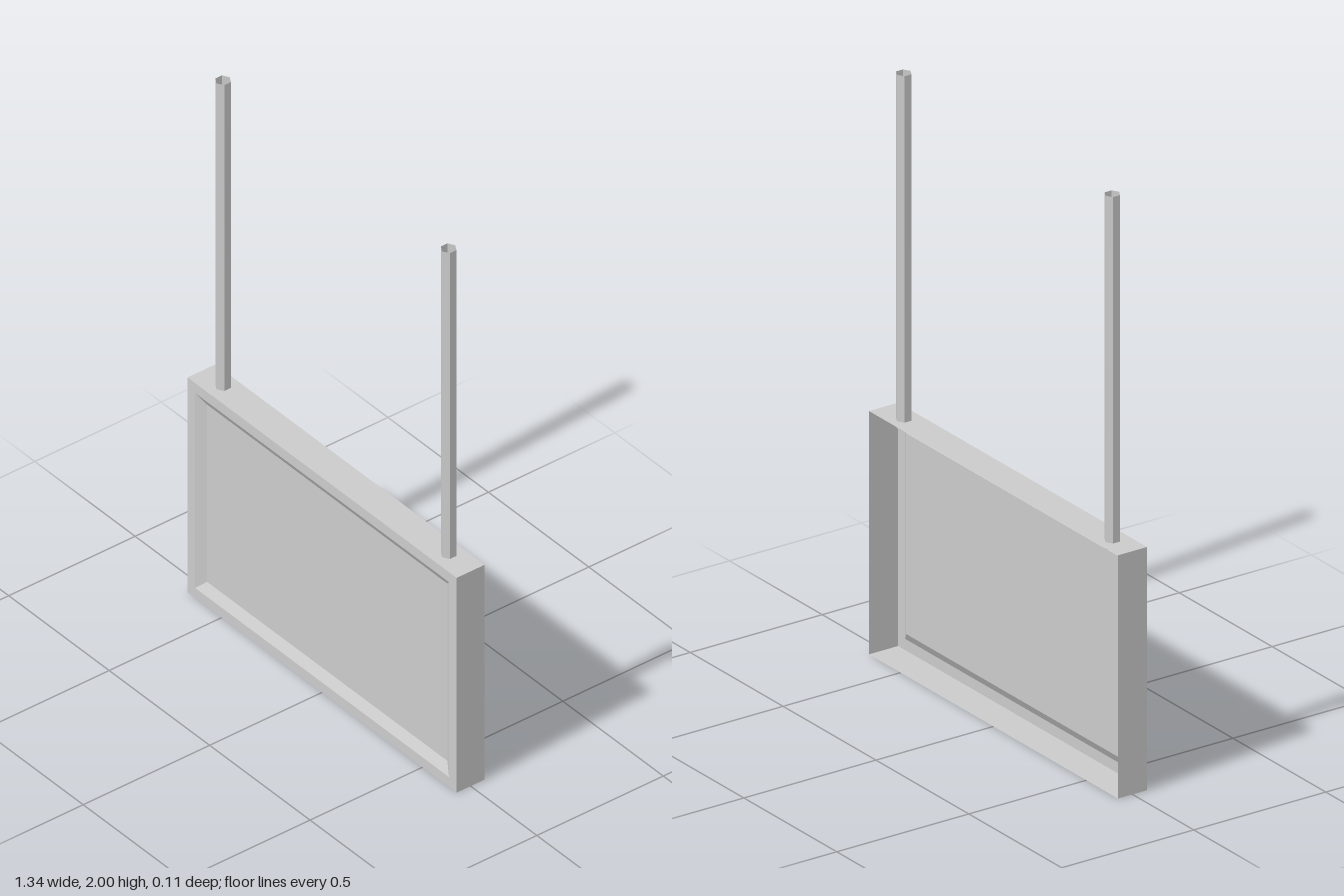
import * as THREE from 'three';

const W = 0.67, H = 0.825, D = 0.055; // half width, height, half depth
const material = new THREE.MeshStandardMaterial({
  color: 0xcccccc, flatShading: true, side: THREE.DoubleSide,
});

// Rectangle of four corners, inset from the outer edge, at depth z
const ring = (inset, z) => [
  [-W + inset, inset, z], [W - inset, inset, z],
  [W - inset, H - inset, z], [-W + inset, H - inset, z],
];

// Pressed tray: walls, front rim, bevel and recessed panel, open at the back
function trayGeometry() {
  const rings = [ring(0, -D), ring(0, D), ring(0.038, D), ring(0.072, D - 0.02)];
  const positions = [];
  const quad = (a, b, c, d) => positions.push(...a, ...b, ...c, ...a, ...c, ...d);
  for (let r = 0; r < rings.length - 1; r++) {
    for (let i = 0; i < 4; i++) {
      const j = (i + 1) % 4;
      quad(rings[r][i], rings[r][j], rings[r + 1][j], rings[r + 1][i]);
    }
  }
  quad(...rings[rings.length - 1]);
  const geometry = new THREE.BufferGeometry();
  geometry.setAttribute('position', new THREE.Float32BufferAttribute(positions, 3));
  geometry.computeVertexNormals();
  return geometry;
}

export function createModel() {
  const group = new THREE.Group();

  const tray = new THREE.Mesh(trayGeometry(), material);
  tray.name = 'signPanel';
  group.add(tray);

  // Open six-sided hanging tubes that pass just through the top wall
  const bottom = 0.8, top = 2;
  const tube = new THREE.CylinderGeometry(0.026, 0.026, top - bottom, 6, 1, true);
  for (const [name, x] of [['leftHangingTube', 0.557], ['rightHangingTube', -0.566]]) {
    const mesh = new THREE.Mesh(tube, material);
    mesh.name = name;
    mesh.position.set(x, (top + bottom) / 2, -0.003);
    group.add(mesh);
  }
  return group;
}
